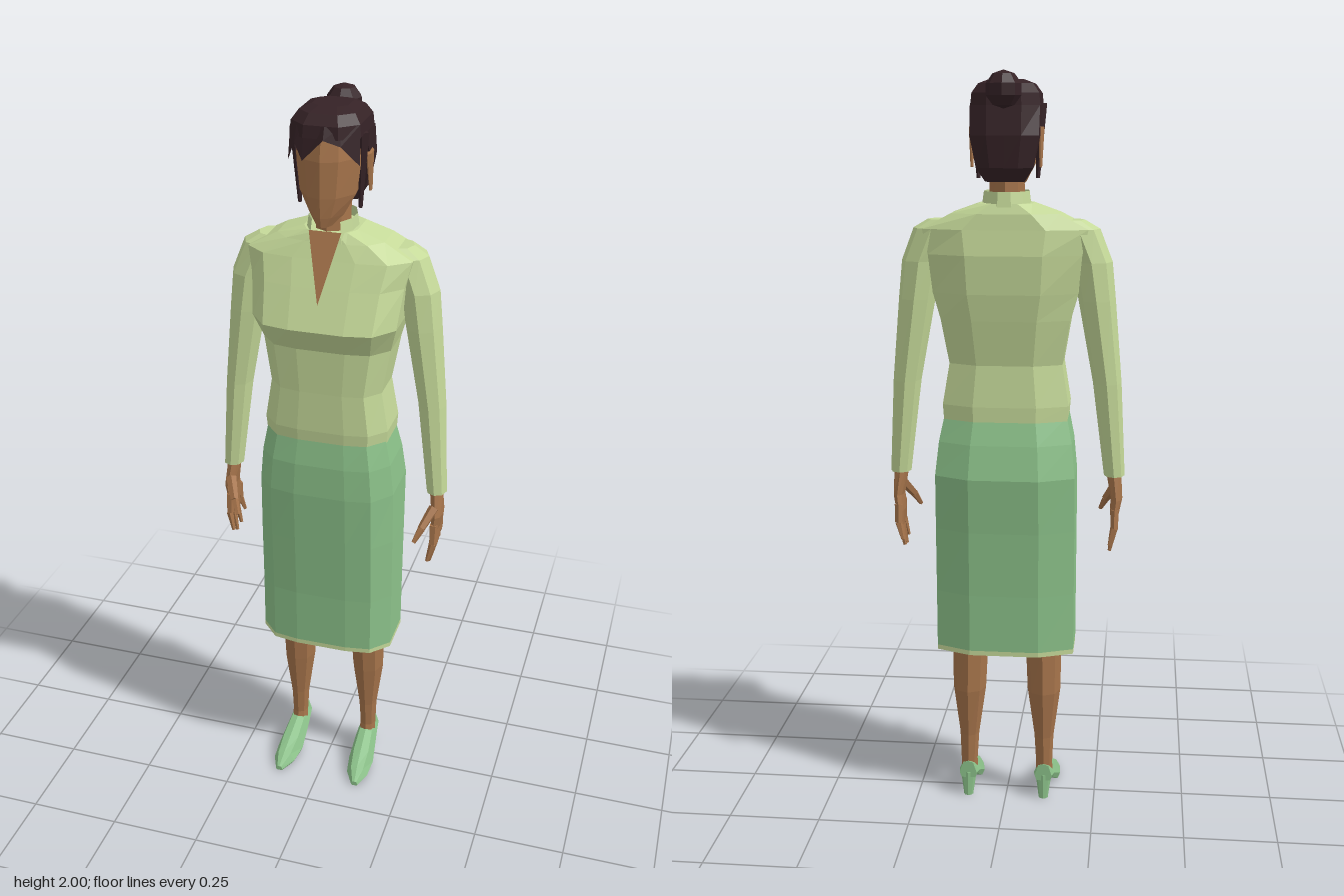
import * as THREE from 'three';

const mat = (name, color, side = THREE.FrontSide) => {
  const m = new THREE.MeshStandardMaterial({ color, side });
  m.name = name;
  return m;
};

// Half outlines, front centre to back centre, in unit width and depth
const BODY = [[0, 1], [0.38, 1], [0.75, 0.9], [1, 0.45], [1, -0.65], [0.5, -1], [0, -1]];
const ROUND = [[0, 1], [0.7, 0.72], [1, 0], [0.7, -0.72], [0, -1]];
const FACE = [[0, 1], [0.5, 0.82], [1, 0.15], [0.9, -0.6], [0.4, -1], [0, -1]];
const HAIR = [[0, 1], [0.5, 1], [1, 0.6], [1, -0.6], [0.5, -1], [0, -1]];
const SHOE = [[0, 1], [0.8, 1], [1, 0.4], [0.6, -0.8], [0, -1]];

// Horizontal ring from [y, centreX, halfWidth, frontZ, backZ]
function ring([y, cx, w, zf, zb], half) {
  const zc = (zf + zb) / 2, d = (zf - zb) / 2;
  const right = half.map(([x, z]) => [cx + x * w, y, zc + z * d]);
  const left = half.slice(1, -1).reverse().map(([x, z]) => [cx - x * w, y, zc + z * d]);
  return [...right, ...left];
}

function faceted(positions) {
  const g = new THREE.BufferGeometry();
  g.setAttribute('position', new THREE.Float32BufferAttribute(positions, 3));
  g.computeVertexNormals();
  return g;
}

// Faceted skin over rings listed from bottom to top
function loft(sections, half, capped = true) {
  const rings = sections.map((s) => ring(s, half));
  const out = [], n = rings[0].length;
  const tri = (a, b, c) => out.push(...a, ...b, ...c);
  for (let i = 0; i < rings.length - 1; i++) {
    for (let j = 0; j < n; j++) {
      const k = (j + 1) % n, lo = rings[i], hi = rings[i + 1];
      tri(lo[j], lo[k], hi[k]);
      tri(lo[j], hi[k], hi[j]);
    }
  }
  if (capped) {
    const lo = rings[0], hi = rings[rings.length - 1];
    for (let j = 1; j < n - 1; j++) {
      tri(lo[0], lo[j + 1], lo[j]);
      tri(hi[0], hi[j], hi[j + 1]);
    }
  }
  return faceted(out);
}

function flat(geometry) {
  const g = geometry.index ? geometry.toNonIndexed() : geometry;
  g.computeVertexNormals();
  return g;
}

// Tapered rod between two points
function rod(a, b, ra, rb, sides = 5) {
  const p = new THREE.Vector3(...a), q = new THREE.Vector3(...b);
  const dir = q.clone().sub(p);
  const g = new THREE.CylinderGeometry(rb, ra, dir.length(), sides);
  g.applyQuaternion(new THREE.Quaternion().setFromUnitVectors(new THREE.Vector3(0, 1, 0), dir.normalize()));
  g.translate(...p.add(q).multiplyScalar(0.5).toArray());
  return flat(g);
}

export function createModel() {
  const model = new THREE.Group();
  model.name = 'woman';
  const blouse = mat('pale green blouse', 0xc5d999, THREE.DoubleSide);
  const green = mat('green cloth', 0x8cc28a, THREE.DoubleSide);
  const skin = mat('brown skin', 0xa6744b, THREE.DoubleSide);
  const hair = mat('dark hair', 0x352226, THREE.DoubleSide);
  const add = (name, geometry, material, parent = model) => {
    const m = new THREE.Mesh(geometry, material);
    m.name = name;
    parent.add(m);
    return m;
  };

  // Blouse body
  add('blouseBody', loft([
    [1.1, 0, 0.165, 0.1, -0.1], [1.14, 0, 0.168, 0.103, -0.1], [1.25, 0, 0.15, 0.1, -0.09],
    [1.37, 0, 0.17, 0.1, -0.11], [1.44, 0, 0.19, 0.144, -0.12], [1.54, 0, 0.2, 0.1, -0.125],
    [1.605, 0, 0.215, 0.071, -0.115], [1.645, 0, 0.14, 0.054, -0.11], [1.67, 0, 0.07, 0.045, -0.1],
  ], BODY), blouse);

  // Open neckline and standing collar
  add('neckline', faceted([-0.042, 1.675, 0.056, 0, 1.505, 0.124, 0.042, 1.675, 0.056]), skin);
  const collar = new THREE.CylinderGeometry(0.06, 0.068, 0.06, 9, 1, true, 0.65, Math.PI * 2 - 1.3);
  collar.scale(1, 1, 1.36).translate(0, 1.67, -0.018);
  add('collar', flat(collar), blouse);
  add('neck', loft([
    [1.6, 0, 0.048, 0.045, -0.08], [1.7, 0, 0.046, 0.04, -0.08], [1.79, 0, 0.046, 0.03, -0.08],
  ], ROUND), skin);

  // Skirt with a pale hem
  add('skirt', loft([
    [0.46, 0, 0.188, 0.105, -0.115], [0.62, 0, 0.188, 0.105, -0.118], [0.8, 0, 0.188, 0.112, -0.126],
    [0.95, 0, 0.187, 0.118, -0.138], [1.04, 0, 0.178, 0.114, -0.118], [1.11, 0, 0.164, 0.103, -0.096],
  ], BODY, false), green);
  add('skirtHem', loft([
    [0.447, 0, 0.188, 0.105, -0.115], [0.46, 0, 0.188, 0.105, -0.115],
  ], BODY, false), blouse);

  // Head
  add('head', loft([
    [1.695, 0, 0.02, 0.09, 0.035], [1.72, 0, 0.045, 0.096, -0.03], [1.77, 0, 0.072, 0.1, -0.06],
    [1.86, 0, 0.084, 0.1, -0.08], [1.93, 0, 0.078, 0.086, -0.08],
  ], FACE), skin);

  // Hair: crown, back, fringe, bun
  add('hairCrown', loft([
    [1.915, 0, 0.089, 0.094, -0.108], [1.945, 0, 0.086, 0.09, -0.106],
    [1.968, 0, 0.07, 0.07, -0.09], [1.978, 0, 0.045, 0.03, -0.06],
  ], HAIR), hair);
  add('hairBack', loft([
    [1.725, 0, 0.05, -0.055, -0.09], [1.76, 0, 0.072, -0.045, -0.112],
    [1.84, 0, 0.088, -0.025, -0.118], [1.915, 0, 0.089, 0.05, -0.108],
  ], HAIR), hair);
  const tips = [[-0.09, 1.85], [-0.068, 1.9], [-0.045, 1.86], [0.01, 1.915], [0.05, 1.9], [0.09, 1.85]];
  const fringe = [];
  for (let i = 0; i < tips.length - 1; i++) {
    const [[x0, y0], [x1, y1]] = [tips[i], tips[i + 1]];
    const z = (x) => 0.106 - 5 * x * x;
    const a = [x0, y0, z(x0)], b = [x1, y1, z(x1)];
    const c = [x1 * 0.96, 1.945, z(x1) - 0.014], d = [x0 * 0.96, 1.945, z(x0) - 0.014];
    fringe.push(...a, ...b, ...c, ...a, ...c, ...d);
  }
  add('fringe', faceted(fringe), hair);
  const bun = flat(new THREE.SphereGeometry(0.047, 8, 5));
  add('bun', bun, hair).position.set(0, 1.953, -0.11);

  for (const s of [1, -1]) {
    const side = s > 0 ? 'left' : 'right';

    // Ear and loose side lock
    const ear = add(side + 'Ear', flat(new THREE.CylinderGeometry(0.024, 0.01, 0.1, 6)), skin);
    ear.scale.x = 0.35;
    ear.position.set(s * 0.089, 1.81, -0.035);
    ear.rotation.x = 0.12;
    add(side + 'SideLock', rod([s * 0.078, 1.73, 0.012], [s * 0.086, 1.92, 0.02], 0.005, 0.014, 4), hair);

    // Sleeve
    add(side + 'Sleeve', loft([
      [0.945, s * 0.291, 0.028, 0.012, -0.055], [1.2, s * 0.268, 0.038, 0.018, -0.075],
      [1.42, s * 0.238, 0.049, 0.028, -0.088], [1.52, s * 0.224, 0.053, 0.028, -0.09],
      [1.605, s * 0.19, 0.054, 0.018, -0.09], [1.628, s * 0.165, 0.04, 0.0, -0.08],
    ], ROUND), blouse);

    // Hand
    const hand = new THREE.Group();
    hand.name = side + 'Hand';
    model.add(hand);
    add('palm', loft([
      [0.835, s * 0.293, 0.012, 0.022, -0.062], [0.88, s * 0.298, 0.016, 0.024, -0.058],
      [0.95, s * 0.29, 0.02, 0.002, -0.046],
    ], ROUND), skin, hand);
    [[0.014, 0.028, 0.745], [-0.009, 0.0, 0.73], [-0.032, -0.035, 0.735], [-0.052, -0.068, 0.76]]
      .forEach(([z0, z1, y1]) => {
        const mid = [s * 0.294, (0.85 + y1) / 2, (z0 + z1) / 2];
        add('finger', rod([s * 0.294, 0.855, z0], mid, 0.012, 0.01), skin, hand);
        add('fingertip', rod(mid, [s * 0.282, y1, z1], 0.01, 0.005), skin, hand);
      });
    add('thumb', rod([s * 0.292, 0.905, 0.008], [s * 0.268, 0.86, 0.05], 0.015, 0.011), skin, hand);
    add('thumbTip', rod([s * 0.268, 0.86, 0.05], [s * 0.252, 0.825, 0.07], 0.011, 0.006), skin, hand);

    // Leg
    add(side + 'Leg', loft([
      [0.06, s * 0.107, 0.024, 0.005, -0.055], [0.1, s * 0.107, 0.023, -0.003, -0.056],
      [0.18, s * 0.106, 0.027, 0.004, -0.06], [0.32, s * 0.105, 0.046, 0.025, -0.08],
      [0.45, s * 0.103, 0.05, 0.04, -0.08], [0.62, s * 0.1, 0.06, 0.05, -0.08],
    ], ROUND), skin);

    // Shoe, lofted from heel to toe, and its heel
    const shoe = loft([
      [-0.066, s * 0.107, 0.024, -0.055, -0.105], [-0.03, s * 0.107, 0.029, -0.05, -0.09],
      [0.0, s * 0.108, 0.032, -0.032, -0.085], [0.06, s * 0.111, 0.037, 0, -0.06],
      [0.115, s * 0.114, 0.031, 0, -0.036], [0.156, s * 0.117, 0.01, 0, -0.014],
    ], SHOE);
    add(side + 'Shoe', shoe.rotateX(Math.PI / 2), green);
    add(side + 'Heel', loft([
      [0, s * 0.107, 0.013, -0.046, -0.069], [0.07, s * 0.107, 0.023, -0.03, -0.068],
    ], ROUND), green);
  }
  return model;
}
